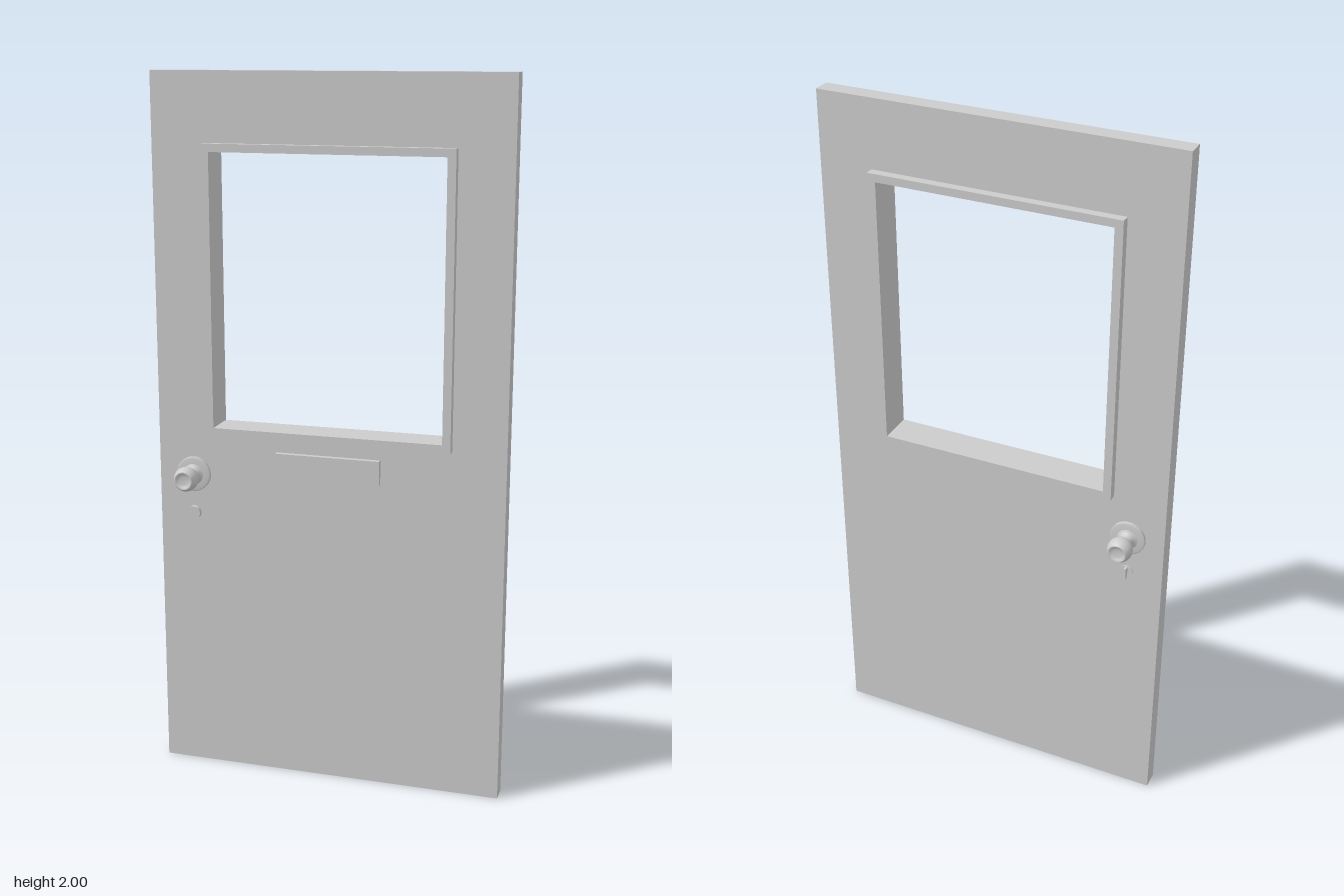
import * as THREE from 'three';

const grey = new THREE.MeshStandardMaterial({ color: 0xcccccc });

function part(name, geometry, x = 0, y = 0, z = 0) {
  const mesh = new THREE.Mesh(geometry, grey);
  mesh.name = name;
  mesh.position.set(x, y, z);
  return mesh;
}

function rect(path, x, y0, y1) {
  path.moveTo(-x, y0);
  path.lineTo(x, y0);
  path.lineTo(x, y1);
  path.lineTo(-x, y1);
  path.closePath();
  return path;
}

// Rectangular panel with a rectangular opening, centred on z = 0
function framedPanel(outer, inner, depth) {
  const shape = rect(new THREE.Shape(), ...outer);
  shape.holes.push(rect(new THREE.Path(), ...inner));
  return new THREE.ExtrudeGeometry(shape, { depth, bevelEnabled: false }).translate(0, 0, -depth / 2);
}

// Lathe around the z axis; profile points are [radius, z]
function turned(profile) {
  const points = profile.map(([r, z]) => new THREE.Vector2(r, z));
  return new THREE.LatheGeometry(points, 32).rotateX(Math.PI / 2);
}

// Ball knob with concave neck, flattened and dished at its end
function knob() {
  const group = new THREE.Group();
  group.add(part('rose', turned([[0.05, 0.02], [0.05, 0.033], [0.05, 0.033], [0.046, 0.035], [0.03, 0.036]])));
  const profile = [[0.036, 0.034], [0.027, 0.037], [0.021, 0.042], [0.018, 0.048], [0.017, 0.056]];
  for (let i = 0; i <= 12; i++) {
    const a = THREE.MathUtils.lerp(-1.05, 0.76, i / 12);
    profile.push([0.035 * Math.cos(a), 0.088 + 0.035 * Math.sin(a)]);
  }
  group.add(part('knobBall', turned(profile)));
  group.add(part('knobEnd', turned([[0.0254, 0.1121], [0.021, 0.1121], [0.019, 0.109], [0.012, 0.107], [0, 0.1065]])));
  return group;
}

export function createModel() {
  const door = new THREE.Group();
  door.name = 'door';

  door.add(part('doorLeaf', framedPanel([0.5, 0, 2], [0.34, 1.015, 1.8], 0.05)));
  door.add(part('windowTrim', framedPanel([0.35, 1.005, 1.81], [0.327, 1.028, 1.788], 0.1)));
  door.add(part('mailSlot', new THREE.BoxGeometry(0.3, 0.07, 0.04), 0, 0.93, 0.02));

  // Knobs on both faces
  for (const side of [1, -1]) {
    const handle = knob();
    handle.name = side > 0 ? 'frontKnob' : 'backKnob';
    handle.position.set(-0.397, 0.884, 0);
    if (side < 0) handle.rotation.y = Math.PI;
    door.add(handle);
  }

  // Lock cylinder in front, thumb turn behind
  const lock = new THREE.Group();
  lock.name = 'lock';
  lock.position.set(-0.397, 0.77, 0);
  lock.add(part('lockCylinder', new THREE.CylinderGeometry(0.019, 0.019, 0.066, 24).rotateX(Math.PI / 2), 0, 0, 0.005));
  lock.add(part('thumbTurn', new THREE.BoxGeometry(0.007, 0.034, 0.016), 0, 0, -0.034));
  door.add(lock);

  return door;
}
